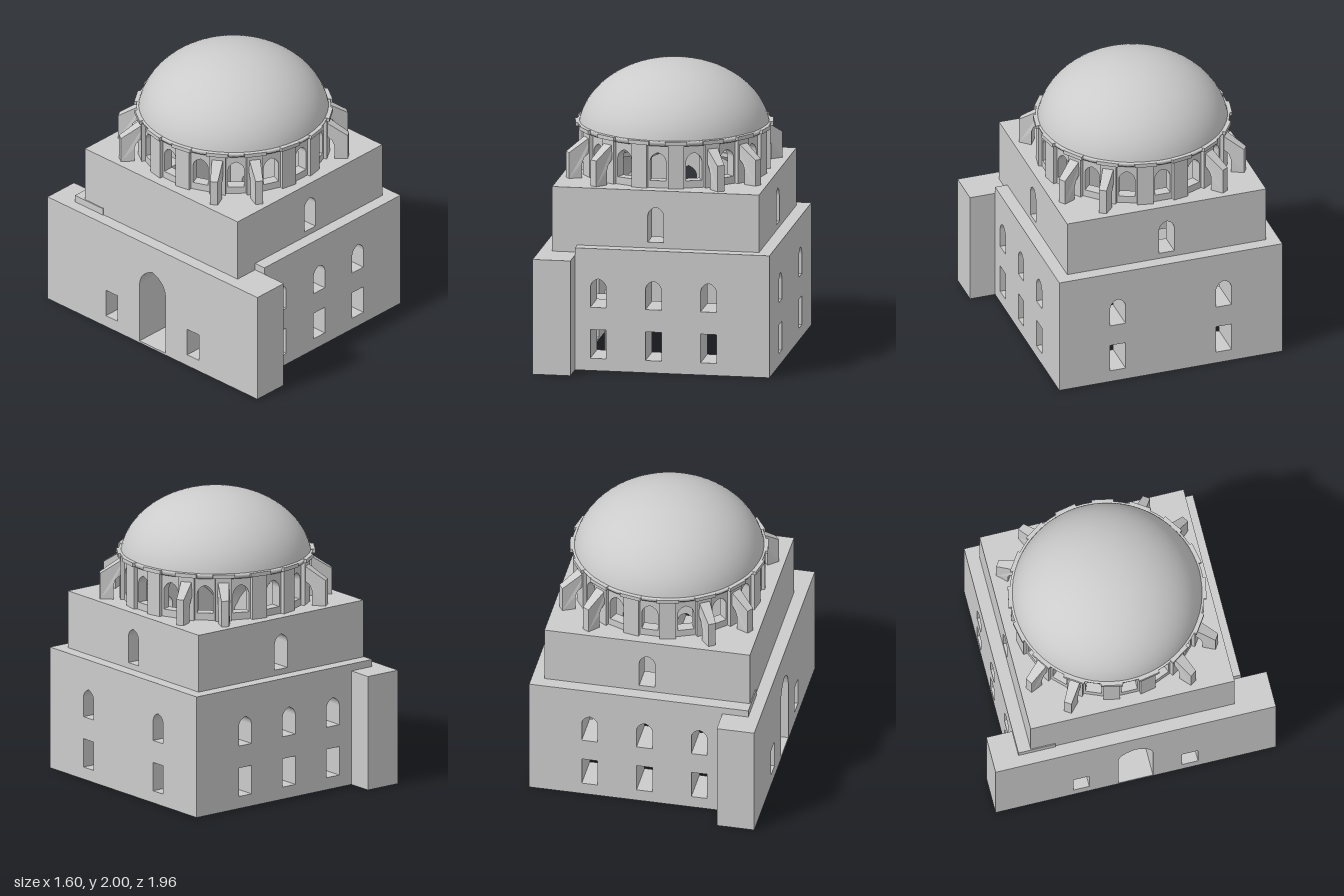
import * as THREE from 'three';
import { ParametricGeometry } from 'three/addons/geometries/ParametricGeometry.js';

const flat = new THREE.MeshStandardMaterial({ color: 0xcccccc, flatShading: true });
const smooth = new THREE.MeshStandardMaterial({ color: 0xcccccc, side: THREE.DoubleSide });
const HALL = 0.54; // half width of the inner hall
const SIDES = 16; // drum bays

function add(parent, name, geometry, material = flat) {
  const mesh = new THREE.Mesh(geometry, material);
  mesh.name = name;
  parent.add(mesh);
  return mesh;
}

// Box given by its minimum and maximum corners
function block(parent, name, [x0, y0, z0], [x1, y1, z1]) {
  const mesh = add(parent, name, new THREE.BoxGeometry(x1 - x0, y1 - y0, z1 - z0));
  mesh.position.set((x0 + x1) / 2, (y0 + y1) / 2, (z0 + z1) / 2);
  return mesh;
}

const polygon = (pts) => new THREE.Shape(pts.map(([x, y]) => new THREE.Vector2(x, y)));
const rect = (x0, y0, x1, y1) => polygon([[x0, y0], [x1, y0], [x1, y1], [x0, y1]]);
const extrude = (shape, depth) =>
  new THREE.ExtrudeGeometry(shape, { depth, bevelEnabled: false, curveSegments: 6 });

// Opening with a slightly pointed arch
function arch(cx, y0, y1, w, rise = 0.06) {
  const p = new THREE.Path();
  const h = w / 2, s = y1 - rise;
  p.moveTo(cx - h, y0);
  p.lineTo(cx + h, y0);
  p.lineTo(cx + h, s);
  p.quadraticCurveTo(cx + h * 0.9, s + rise * 0.72, cx, y1);
  p.quadraticCurveTo(cx - h * 0.9, s + rise * 0.72, cx - h, s);
  p.lineTo(cx - h, y0);
  return p;
}
const lowWindow = (cx) => rect(cx - 0.055, 0.085, cx + 0.055, 0.285);
const highWindow = (cx) => arch(cx, 0.44, 0.64, 0.11);
const tierWindow = () => arch(0, 0.89, 1.135, 0.11);

// Wall panel with openings; sideways panels run along z
function wall(parent, name, shape, holes, depth, offset, sideways) {
  shape.holes.push(...holes);
  const mesh = add(parent, name, extrude(shape, depth));
  if (sideways) {
    mesh.rotation.y = Math.PI / 2;
    mesh.position.x = offset;
  } else mesh.position.z = offset;
  return mesh;
}

function lowerStorey() {
  const g = new THREE.Group();
  g.name = 'lowerStorey';
  const t = 0.8 - HALL;
  const three = () => [-0.38, 0, 0.38].flatMap((x) => [lowWindow(x), highWindow(x)]);
  const two = [-0.38, 0.38].flatMap((x) => [lowWindow(x), highWindow(x)]);
  wall(g, 'frontWall', rect(-HALL, 0, 0.8, 0.85), three(), t, HALL);
  wall(g, 'backWall', polygon([[-HALL, 0], [0.8, 0], [0.8, 0.85], [-0.72, 0.85], [-0.72, 0.8], [-HALL, 0.8]]),
    three(), t, -0.8);
  wall(g, 'sideWall', rect(-HALL, 0, HALL, 0.85), two, t, HALL, true);
  // Long entrance wing with the portal
  wall(g, 'entranceWing', rect(-0.98, 0, 0.55, 0.8),
    [lowWindow(-0.38), lowWindow(0.38), arch(0, 0.015, 0.6, 0.24, 0.13)], t, -0.8, true);
  // Hollow stair room at the back end of the wing
  const plan = rect(-0.8, 0.55, -HALL, 0.98);
  plan.holes.push(rect(-0.74, 0.62, -0.6, 0.92));
  add(g, 'stairRoom', extrude(plan, 0.7)).rotation.x = -Math.PI / 2;
  block(g, 'stairRoomRoof', [-0.8, 0.7, -0.98], [-HALL, 0.8, -0.55]);
  return g;
}

function upperStorey() {
  const g = new THREE.Group();
  g.name = 'upperStorey';
  const t = 0.713 - HALL;
  wall(g, 'upperFrontWall', rect(-0.713, 0.8, 0.713, 1.25), [tierWindow()], t, HALL);
  wall(g, 'upperBackWall', rect(-0.713, 0.8, 0.713, 1.25), [tierWindow()], t, -0.713);
  wall(g, 'upperSideWall', rect(-HALL, 0.8, HALL, 1.25), [tierWindow()], t, HALL, true);
  wall(g, 'upperEntranceWall', rect(-HALL, 0.8, HALL, 1.25), [], t, -0.713, true);
  // Roof with a round opening under the drum
  const roof = rect(-0.713, -0.713, 0.713, 0.713);
  roof.holes.push(new THREE.Path().absarc(0, 0, HALL, 0, Math.PI * 2, true));
  const slab = add(g, 'roof', new THREE.ExtrudeGeometry(roof, { depth: 0.03, bevelEnabled: false, curveSegments: 48 }));
  slab.rotation.x = -Math.PI / 2;
  slab.position.y = 1.22;
  // Pendentives: a sphere through the hall corners, cut by the four walls
  add(g, 'pendentives', new ParametricGeometry((u, v, out) => {
    const a = u * Math.PI * 2;
    const edge = HALL / Math.max(Math.abs(Math.cos(a)), Math.abs(Math.sin(a)));
    const r = HALL + (edge - HALL) * v;
    const y = 1.25 - HALL + Math.sqrt(Math.max(0, 2 * HALL * HALL - r * r));
    out.set(r * Math.cos(a), y, r * Math.sin(a));
  }, 96, 12), smooth);
  return g;
}

function drum() {
  const g = new THREE.Group();
  g.name = 'drum';
  const outer = 0.625, half = outer * Math.tan(Math.PI / SIDES);
  const panel = rect(-half, 1.25, half, 1.56);
  panel.holes.push(arch(0, 1.3, 1.495, 0.11));
  const panelGeo = extrude(panel, 0.075).translate(0, 0, outer - 0.075);
  // Flying buttress profile: outer pier, sloping top, arched underside
  const flyer = polygon([[0.7, 1.25], [0.79, 1.25], [0.79, 1.43], [0.62, 1.54], [0.62, 1.42],
    [0.655, 1.415], [0.685, 1.39], [0.7, 1.35]]);
  const flyerGeo = extrude(flyer, 0.08).translate(0, 0, -0.04).rotateY(-Math.PI / 2);
  // Chamfer the outer pier corners by narrowing its end
  const pos = flyerGeo.attributes.position;
  for (let i = 0; i < pos.count; i++) if (pos.getZ(i) > 0.78) pos.setX(i, pos.getX(i) * 0.65);

  for (let i = 0; i < SIDES; i++) {
    const a = (i / SIDES) * Math.PI * 2;
    add(g, 'windowBay', panelGeo).rotation.y = a;
    const bay = new THREE.Group();
    bay.name = 'pilasterBay';
    bay.rotation.y = a + Math.PI / SIDES;
    block(bay, 'pilaster', [-0.055, 1.25, 0.59], [0.055, 1.55, 0.652]);
    block(bay, 'pilasterCap', [-0.075, 1.555, 0.6], [0.075, 1.582, 0.672]);
    // Paired buttresses stand on the diagonals
    if (i % 4 === 1 || i % 4 === 2) add(bay, 'flyingButtress', flyerGeo);
    g.add(bay);
  }
  const ring = [[0.57, 1.545], [0.645, 1.545], [0.655, 1.56], [0.66, 1.58], [0.57, 1.585]];
  add(g, 'cornice', new THREE.LatheGeometry(ring.map(([x, y]) => new THREE.Vector2(x, y)), 64), smooth);
  return g;
}

// Elliptical shell from height y0 to its crown
function shell(rx, ry, y0) {
  const c = 1.5, start = Math.asin((y0 - c) / ry), pts = [];
  for (let i = 0; i <= 24; i++) {
    const a = start + (Math.PI / 2 - start) * (i / 24);
    pts.push(new THREE.Vector2(i === 24 ? 0 : rx * Math.cos(a), c + ry * Math.sin(a)));
  }
  return new THREE.LatheGeometry(pts, 64);
}

export function createModel() {
  const model = new THREE.Group();
  model.name = 'domedHall';
  model.add(lowerStorey(), upperStorey(), drum());
  add(model, 'dome', shell(0.653, 0.5, 1.575), smooth);
  add(model, 'domeLining', shell(0.58, 0.45, 1.54), smooth);

  // Raised corner platform on a slim post
  block(model, 'platform', [-HALL, 0.35, 0.32], [-0.32, 0.39, HALL]);
  block(model, 'platformRim', [-HALL, 0.39, 0.3], [-0.3, 0.42, HALL]);
  const post = add(model, 'platformPost', new THREE.CylinderGeometry(0.009, 0.009, 0.35, 8));
  post.position.set(-0.4, 0.175, 0.4);
  return model;
}
